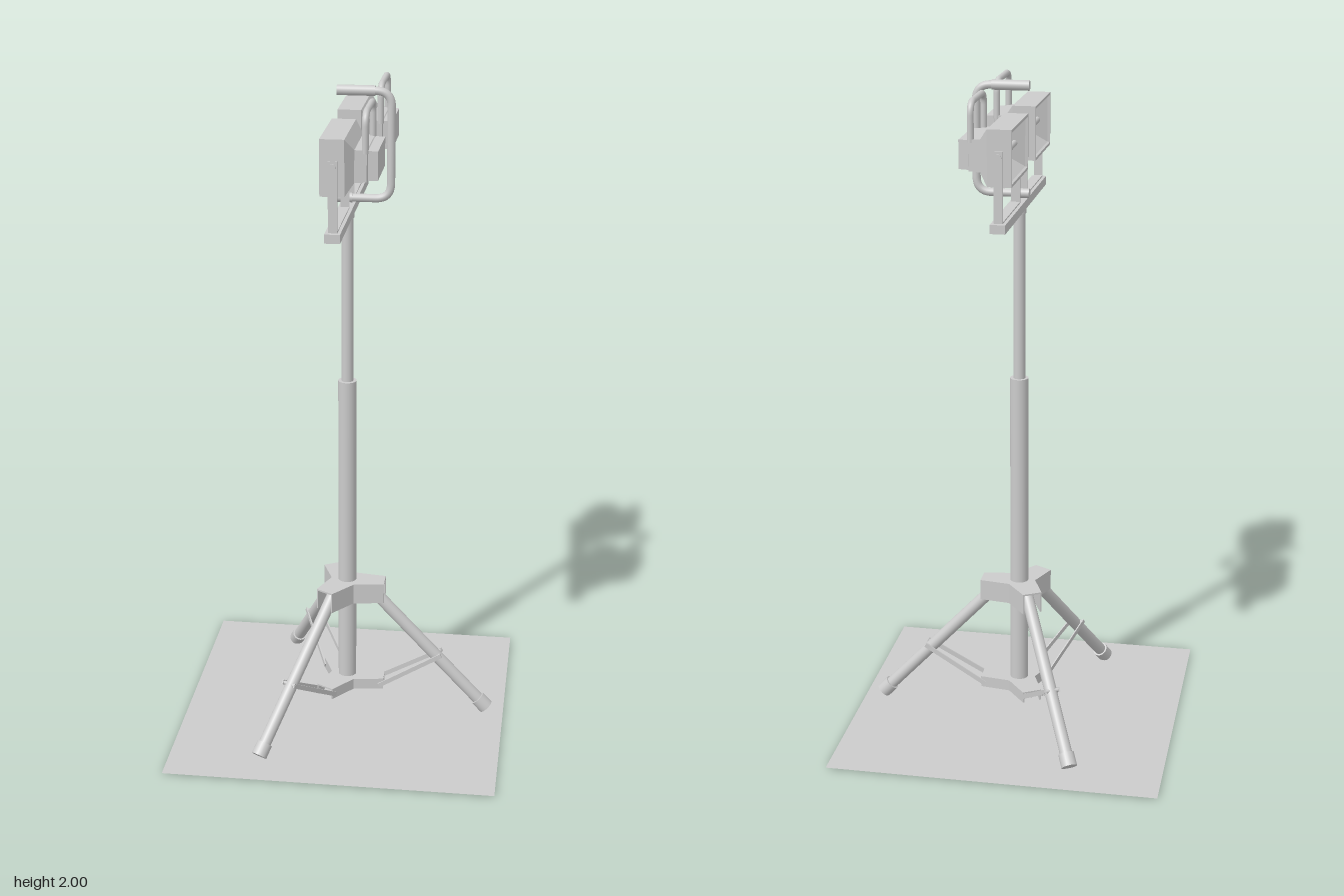
import * as THREE from 'three';

const grey = new THREE.MeshStandardMaterial({ color: 0xcccccc, side: THREE.DoubleSide });
const flat = new THREE.MeshStandardMaterial({ color: 0xcccccc, side: THREE.DoubleSide, flatShading: true });
const V = (x, y, z) => new THREE.Vector3(x, y, z);

function add(parent, name, geometry, material = grey) {
  const mesh = new THREE.Mesh(geometry, material);
  mesh.name = name;
  parent.add(mesh);
  return mesh;
}

function box(parent, name, w, h, d, x, y, z) {
  const mesh = add(parent, name, new THREE.BoxGeometry(w, h, d));
  mesh.position.set(x, y, z);
  return mesh;
}

// Cylinder running from point a to point b
function rod(parent, name, a, b, r, sides = 24) {
  const dir = b.clone().sub(a);
  const mesh = add(parent, name, new THREE.CylinderGeometry(r, r, dir.length(), sides));
  mesh.position.copy(a).add(b).multiplyScalar(0.5);
  mesh.quaternion.setFromUnitVectors(V(0, 1, 0), dir.normalize());
  return mesh;
}

// Tube through corner points, with each inner corner rounded by radius c
function bentTube(parent, name, pts, r, c) {
  const path = new THREE.CurvePath();
  let from = pts[0];
  for (let i = 1; i < pts.length - 1; i++) {
    const p = pts[i];
    const a = p.clone().add(pts[i - 1].clone().sub(p).setLength(c));
    const b = p.clone().add(pts[i + 1].clone().sub(p).setLength(c));
    path.add(new THREE.LineCurve3(from, a));
    path.add(new THREE.QuadraticBezierCurve3(a, p, b));
    from = b;
  }
  path.add(new THREE.LineCurve3(from, pts[pts.length - 1]));
  return add(parent, name, new THREE.TubeGeometry(path, 80, r, 14));
}

// Skin over rectangular rings [x, halfHeight, halfDepth], closed at both ends
function rectLoft(rings) {
  const pos = [];
  const corner = ([x, h, d], k) => [x, [-h, h, h, -h][k % 4], [-d, -d, d, d][k % 4]];
  const quad = (a, b, c, d) => pos.push(...a, ...b, ...c, ...a, ...c, ...d);
  for (let i = 0; i < rings.length - 1; i++) {
    for (let k = 0; k < 4; k++) {
      quad(corner(rings[i], k), corner(rings[i], k + 1), corner(rings[i + 1], k + 1), corner(rings[i + 1], k));
    }
  }
  const first = rings[0], last = rings[rings.length - 1];
  quad(corner(first, 3), corner(first, 2), corner(first, 1), corner(first, 0));
  quad(corner(last, 0), corner(last, 1), corner(last, 2), corner(last, 3));
  const g = new THREE.BufferGeometry();
  g.setAttribute('position', new THREE.Float32BufferAttribute(pos, 3));
  g.computeVertexNormals();
  return g;
}

function extrudeUp(points, height) {
  const shape = new THREE.Shape(points.map(([x, z]) => new THREE.Vector2(x, -z)));
  return new THREE.ExtrudeGeometry(shape, { depth: height, bevelEnabled: false }).rotateX(-Math.PI / 2);
}

const turn = ([x, z], a) => [x * Math.cos(a) - z * Math.sin(a), x * Math.sin(a) + z * Math.cos(a)];
const THIRD = Math.PI * 2 / 3;

// Three-armed bracket: top plate with side walls, open at the arm ends
function hub(name, y0, y1) {
  const g = new THREE.Group();
  g.name = name;
  const star = [];
  for (let i = 0; i < 3; i++) {
    const a = i * THIRD;
    const valley = r => turn([r, 0], a + THIRD / 2);
    const arm = (z, s) => turn([0.118, z * s], a + (s < 0 ? THIRD : 0));
    star.push(arm(-0.03, 1), arm(0.03, 1), valley(0.05));
    const wall = [arm(0.03, 1), valley(0.05), arm(0.03, -1), arm(0.025, -1), valley(0.044), arm(0.025, 1)];
    add(g, 'sideWall', extrudeUp(wall, y1 - y0)).position.y = y0;
  }
  add(g, 'topPlate', extrudeUp(star, 0.005)).position.y = y1 - 0.005;
  return g;
}

function leg() {
  const g = new THREE.Group();
  g.name = 'leg';
  const top = V(0.07, 0.418, 0), foot = V(0.445, 0.0167, 0);
  rod(g, 'legTube', top, foot.clone().lerp(top, 0.02), 0.019);
  rod(g, 'footCap', foot.clone().lerp(top, 0.075), foot, 0.024);
  // Flat brace strips on both sides
  for (const s of [-1, 1]) {
    const a = V(0.105, 0.088, s * 0.034), b = V(0.3, 0.2, s * 0.022);
    const strip = box(g, 'brace', 0.004, 0.014, a.distanceTo(b), 0, 0, 0);
    strip.position.copy(a).add(b).multiplyScalar(0.5);
    strip.lookAt(b);
  }
  rod(g, 'bracePin', V(0.293, 0.196, -0.025), V(0.293, 0.196, 0.025), 0.006, 12);
  return g;
}

// Floodlight opening towards -x
function floodlight() {
  const g = new THREE.Group();
  g.name = 'floodlight';
  const housing = rectLoft([
    [0.035, 0.025, 0.085], [-0.03, 0.07, 0.12], [-0.037, 0.072, 0.122], [-0.037, 0.08, 0.13],
    [0.032, 0.08, 0.13], [0.056, 0.046, 0.103], [0.09, 0.044, 0.1], [0.092, 0.042, 0.092], [0.12, 0.041, 0.09],
  ]);
  add(g, 'housing', housing, flat).position.y = 1.835;
  rod(g, 'bulb', V(-0.002, 1.835, -0.1), V(-0.002, 1.835, 0.1), 0.009, 14);
  bentTube(g, 'carryHandle', [
    V(0.085, 1.87, -0.093), V(0.085, 1.98, -0.093), V(0.085, 1.98, 0.093), V(0.085, 1.87, 0.093),
  ], 0.0095, 0.035);
  // U-shaped mounting yoke
  box(g, 'yokeBase', 0.026, 0.004, 0.27, 0, 1.656, 0);
  for (const s of [-1, 1]) {
    box(g, 'yokeArm', 0.026, 0.2, 0.004, 0, 1.755, s * 0.133);
    rod(g, 'pivotBolt', V(0, 1.838, s * 0.125), V(0, 1.838, s * 0.14), 0.01, 12);
  }
  return g;
}

export function createModel() {
  const model = new THREE.Group();
  model.name = 'tripodWorkLight';

  const ground = add(model, 'groundSheet', new THREE.PlaneGeometry(1, 1).rotateX(-Math.PI / 2));
  ground.position.y = 0.004;

  // Telescopic mast
  rod(model, 'lowerMast', V(0, 0.08, 0), V(0, 1.105, 0), 0.028, 32);
  rod(model, 'upperMast', V(0, 1.1, 0), V(0, 1.63, 0), 0.018, 32);
  rod(model, 'mastCollar', V(0, 1.612, 0), V(0, 1.64, 0), 0.021, 32);

  // Tripod
  model.add(hub('upperHub', 0.378, 0.443), hub('lowerHub', 0.075, 0.11));
  for (let i = 0; i < 3; i++) {
    const l = leg();
    l.rotation.y = i * THIRD;
    model.add(l);
  }

  // Crossbar and lamps
  box(model, 'crossbar', 0.044, 0.026, 0.676, 0, 1.64, 0);
  for (const s of [-1, 1]) {
    const lamp = floodlight();
    lamp.position.z = s * 0.191;
    model.add(lamp);
  }

  // Central lifting handle with a thicker grip
  bentTube(model, 'liftHandle', [
    V(-0.026, 1.671, 0), V(0.127, 1.671, 0), V(0.127, 1.985, 0), V(-0.02, 1.985, 0),
  ], 0.012, 0.045);
  rod(model, 'handleGrip', V(-0.03, 1.985, 0), V(0.08, 1.985, 0), 0.015);
  rod(model, 'handleFoot', V(-0.03, 1.671, 0), V(0.015, 1.671, 0), 0.014);

  return model;
}
